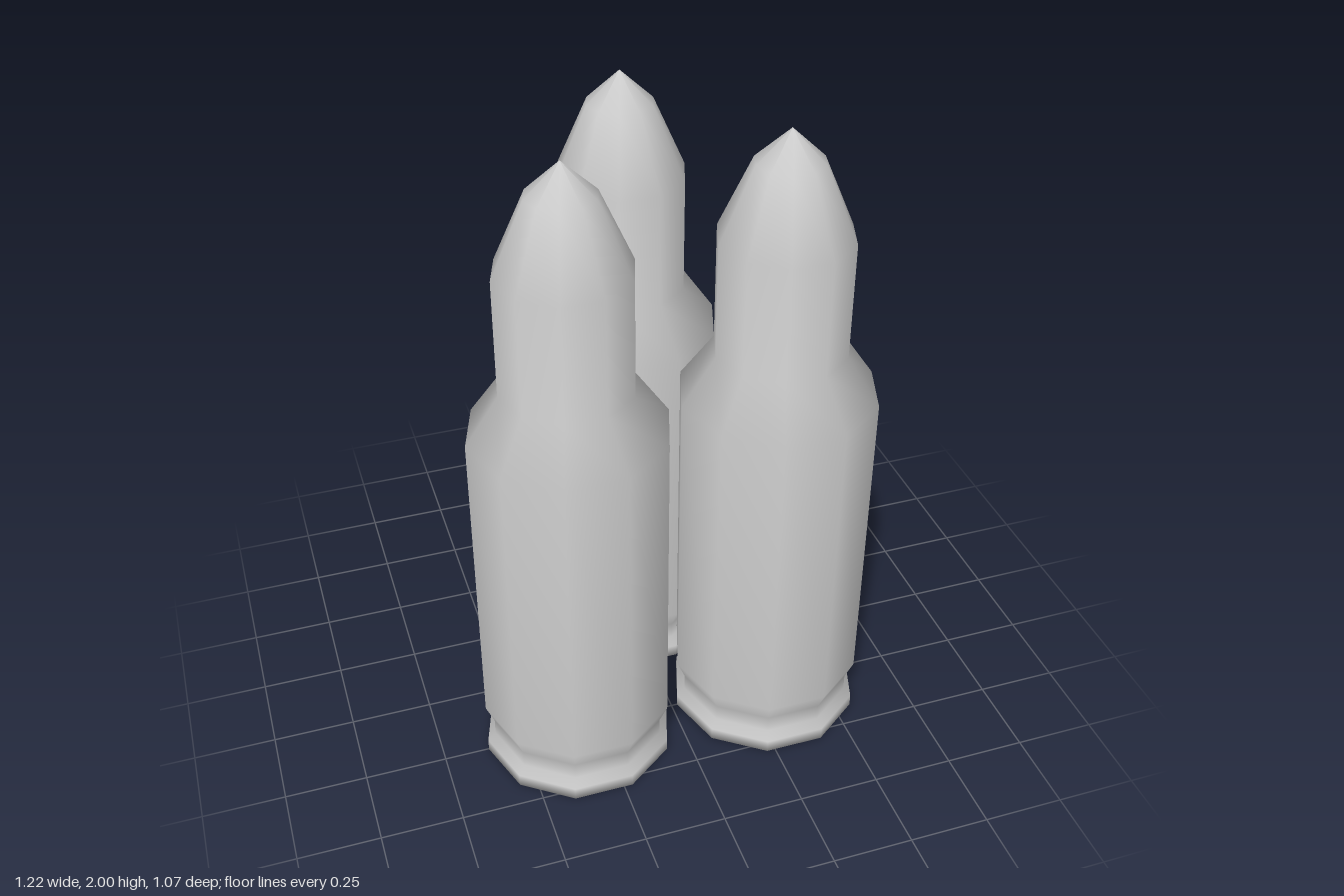
import * as THREE from 'three';

// Half outline of one cartridge: [radius, height], from base centre to tip
const PROFILE = [
  [0, 0], [0.296, 0], [0.296, 0.04], [0.271, 0.065], [0.271, 0.12], // base rim and groove
  [0.296, 0.18], [0.296, 1.18], [0.197, 1.325],                     // case body and shoulder
  [0.197, 1.685], [0.1, 1.905], [0, 2],                             // neck and pointed nose
];

// Where each cartridge stands: [name, x, z]
const PLACES = [
  ['leftCartridge', 0.315, 0.252],
  ['rightCartridge', -0.315, 0.252],
  ['backCartridge', 0, -0.255],
];

export function createModel() {
  const group = new THREE.Group();
  group.name = 'cartridges';
  const material = new THREE.MeshStandardMaterial({ color: 0xcccccc });

  // Ten-sided turned shape with corners on the x axis
  const points = PROFILE.map(([r, y]) => new THREE.Vector2(r, y));
  const geometry = new THREE.LatheGeometry(points, 10, Math.PI / 2);

  for (const [name, x, z] of PLACES) {
    const cartridge = new THREE.Mesh(geometry, material);
    cartridge.name = name;
    cartridge.position.set(x, 0, z);
    group.add(cartridge);
  }
  return group;
}
